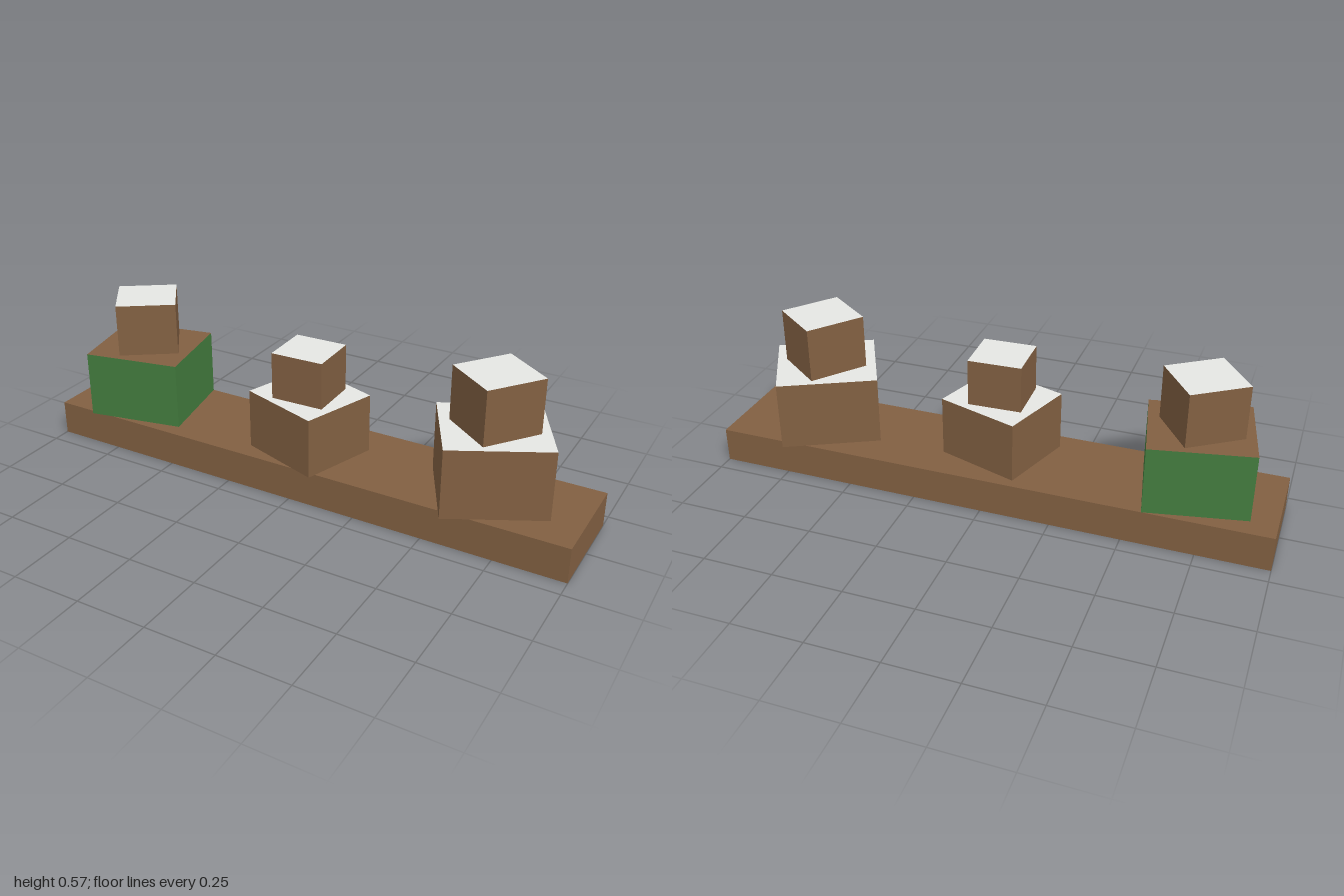
import * as THREE from 'three';

const paint = (name, color) => {
  const m = new THREE.MeshStandardMaterial({ color, side: THREE.DoubleSide });
  m.name = name;
  return m;
};

// Box open at the bottom; group 0 is the four sides, group 1 the top
function openBox(w, h, d) {
  const g = new THREE.BoxGeometry(w, h, d);
  const idx = Array.from(g.index.array);
  const top = idx.slice(12, 18);
  const sides = [...idx.slice(0, 12), ...idx.slice(24)];
  g.setIndex([...sides, ...top]);
  g.clearGroups();
  g.addGroup(0, sides.length, 0);
  g.addGroup(sides.length, top.length, 1);
  return g;
}

export function createModel() {
  const model = new THREE.Group();
  const brown = paint('brown', 0x826042);
  const green = paint('green', 0x447d3f);
  const pale = paint('pale grey', 0xeef0ec);

  function block(name, [w, d], [y0, y1], [x, z], turn, side, top) {
    const mesh = new THREE.Mesh(openBox(w, y1 - y0, d), [side, top]);
    mesh.name = name;
    mesh.position.set(x, (y0 + y1) / 2, z);
    mesh.rotation.y = turn;
    model.add(mesh);
  }

  // Long hollow base
  block('base', [2, 0.375], [0, 0.126], [0, -0.003], 0, brown, brown);

  // Green-sided stack on the model's right
  block('rightLowerBlock', [0.352, 0.327], [0.126, 0.368], [-0.705, 0.005], 0.2, green, brown);
  block('rightUpperBlock', [0.213, 0.208], [0.368, 0.559], [-0.707, 0.004], 0.61, brown, pale);

  // Small middle stack
  block('middleLowerBlock', [0.307, 0.285], [0.126, 0.341], [-0.005, 0.028], -0.317, brown, pale);
  block('middleUpperBlock', [0.19, 0.18], [0.341, 0.508], [-0.005, 0.03], 0.03, brown, pale);

  // Large stack on the model's left
  block('leftLowerBlock', [0.352, 0.33], [0.126, 0.373], [0.661, 0], 0.479, brown, pale);
  block('leftUpperBlock', [0.216, 0.207], [0.373, 0.566], [0.662, 0], 0.93, brown, pale);

  return model;
}
